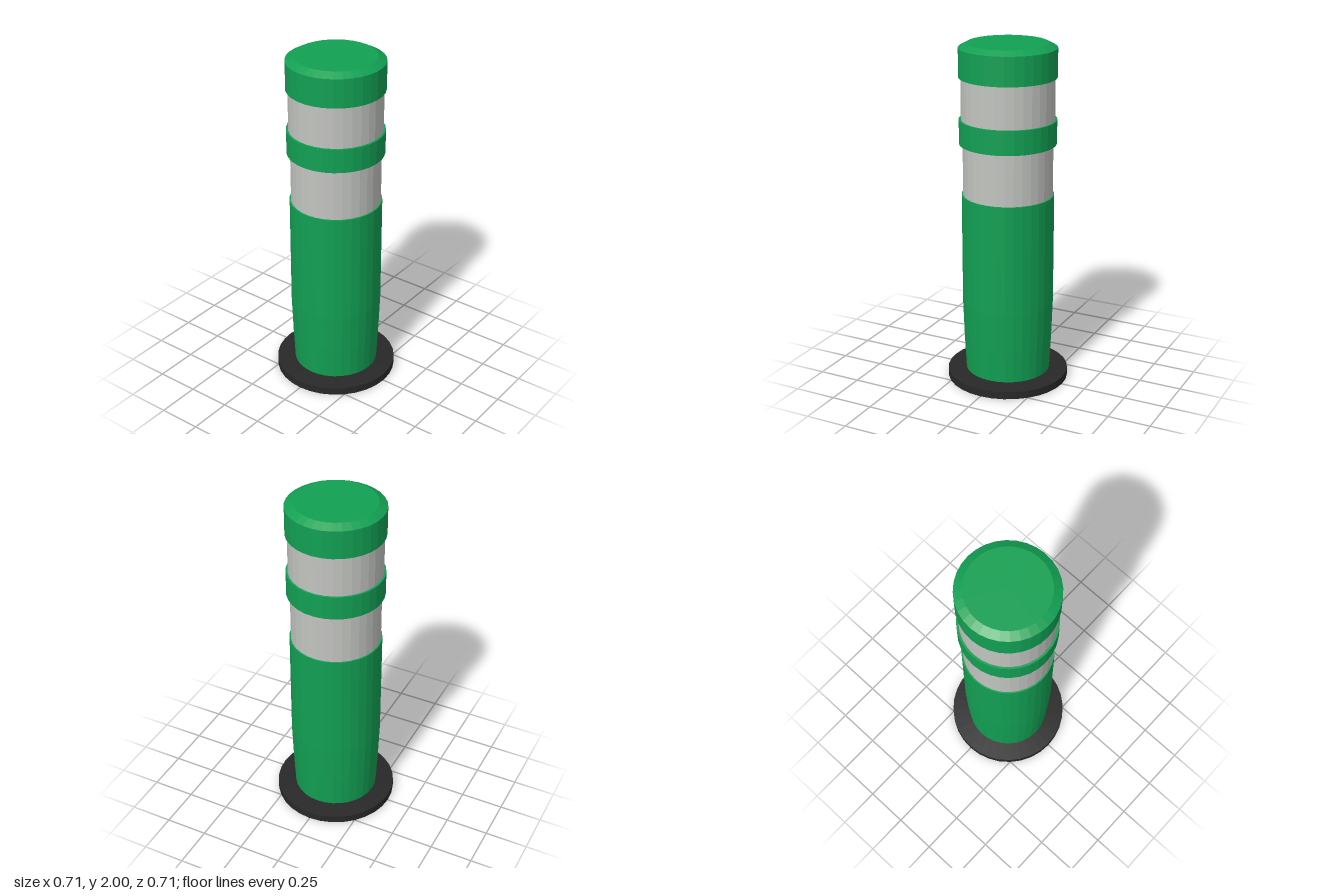
import * as THREE from 'three';

const SIDES = 32;

const flat = (name, color) => {
  const m = new THREE.MeshStandardMaterial({ color, flatShading: true });
  m.name = name;
  return m;
};

export function createModel() {
  const green = flat('green', 0x12a053);
  const white = flat('reflective white', 0xc2c4c0);
  const black = flat('black rubber', 0x282828);

  const group = new THREE.Group();
  group.name = 'bollard';

  // Turned part from a bottom-to-top [radius, height] profile
  const turn = (name, material, profile) => {
    const points = profile.map(([r, y]) => new THREE.Vector2(r, y));
    const mesh = new THREE.Mesh(new THREE.LatheGeometry(points, SIDES), material);
    mesh.name = name;
    group.add(mesh);
  };

  // Rubber foot, its top rising slightly towards the post
  turn('base', black, [[0, 0], [0.355, 0], [0.355, 0.045], [0.24, 0.054], [0, 0.054]]);

  // Post, narrowing near the ground
  turn('post', green, [[0.247, 0.05], [0.257, 0.25], [0.265, 0.48], [0.265, 1.13], [0.25, 1.13]]);

  // Reflective sleeves
  turn('lowerReflector', white, [[0.257, 1.13], [0.257, 1.43]]);
  turn('upperReflector', white, [[0.265, 1.57], [0.265, 1.81]]);

  // Raised ring between the sleeves
  turn('ring', green, [[0.25, 1.43], [0.277, 1.43], [0.277, 1.57], [0.25, 1.57]]);

  // Bevelled cap
  turn('cap', green, [[0.25, 1.81], [0.277, 1.81], [0.277, 1.975], [0.23, 2], [0, 2]]);

  return group;
}
